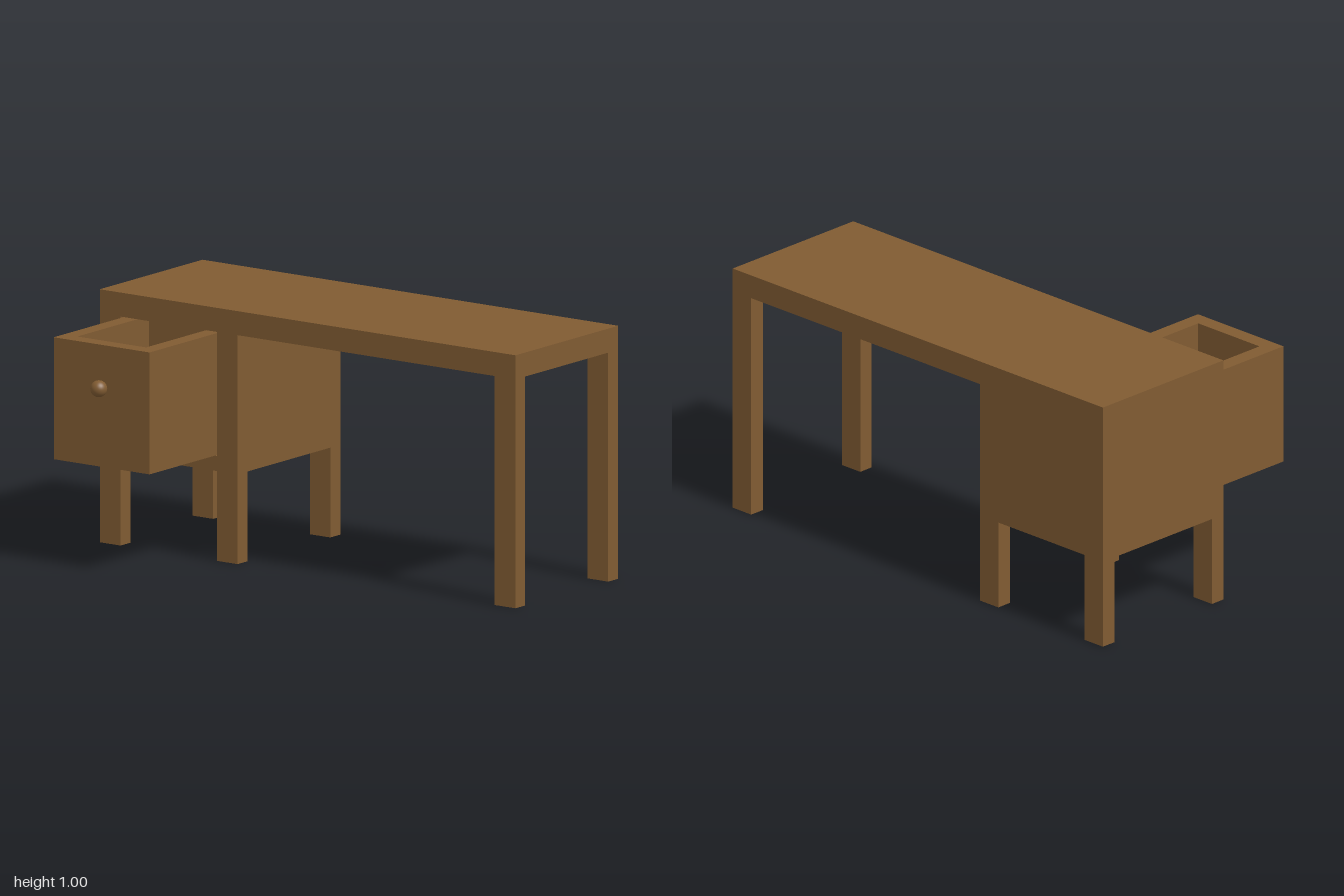
import * as THREE from 'three';

const wood = new THREE.MeshStandardMaterial({ color: 0x805b32 });

// Box given by its min and max along each axis
function slab(parent, name, [x0, x1], [y0, y1], [z0, z1]) {
  const mesh = new THREE.Mesh(new THREE.BoxGeometry(x1 - x0, y1 - y0, z1 - z0), wood);
  mesh.position.set((x0 + x1) / 2, (y0 + y1) / 2, (z0 + z1) / 2);
  mesh.name = name;
  parent.add(mesh);
}

export function createModel() {
  const desk = new THREE.Group();
  desk.name = 'desk';

  const back = [-0.575, -0.51], front = [0.027, 0.09];
  const outer = [-1, -0.9], inner = [-0.435, -0.337], far = [0.9, 1];
  const under = 0.905; // underside of the top

  slab(desk, 'desktop', [-1, 1], [under, 1], [back[0], front[1]]);

  // Six legs: four under the cabinet, two at the far end
  for (const x of [outer, inner, far])
    for (const z of [back, front]) slab(desk, 'leg', x, [0, under], z);

  // Cabinet shell, open at the front
  const cabinet = new THREE.Group();
  cabinet.name = 'cabinet';
  desk.add(cabinet);
  const bottom = 0.355, floorTop = 0.415;
  for (const x of [outer, inner])
    slab(cabinet, 'sidePanel', x, [bottom, under], [back[1], front[0]]);
  slab(cabinet, 'backPanel', [outer[1], inner[0]], [bottom, under], back);
  slab(cabinet, 'cabinetFloor', [outer[1], inner[0]], [bottom, floorTop], [back[1], front[1]]);

  // Open-topped drawer, pulled out
  const drawer = new THREE.Group();
  drawer.name = 'drawer';
  desk.add(drawer);
  const x0 = -0.898, x1 = -0.437, y0 = 0.418, y1 = 0.9, z0 = -0.07, z1 = 0.525, t = 0.065;
  slab(drawer, 'drawerFloor', [x0 + t, x1 - t], [y0, y0 + t], [z0 + t, z1 - t]);
  slab(drawer, 'drawerFront', [x0, x1], [y0, y1], [z1 - t, z1]);
  slab(drawer, 'drawerBack', [x0, x1], [y0, y1], [z0, z0 + t]);
  slab(drawer, 'drawerSide', [x0, x0 + t], [y0, y1], [z0 + t, z1 - t]);
  slab(drawer, 'drawerSide', [x1 - t, x1], [y0, y1], [z0 + t, z1 - t]);

  const knob = new THREE.Mesh(new THREE.SphereGeometry(0.033, 32, 20), wood);
  knob.name = 'knob';
  knob.position.set((x0 + x1) / 2, 0.73, 0.544);
  drawer.add(knob);

  return desk;
}
